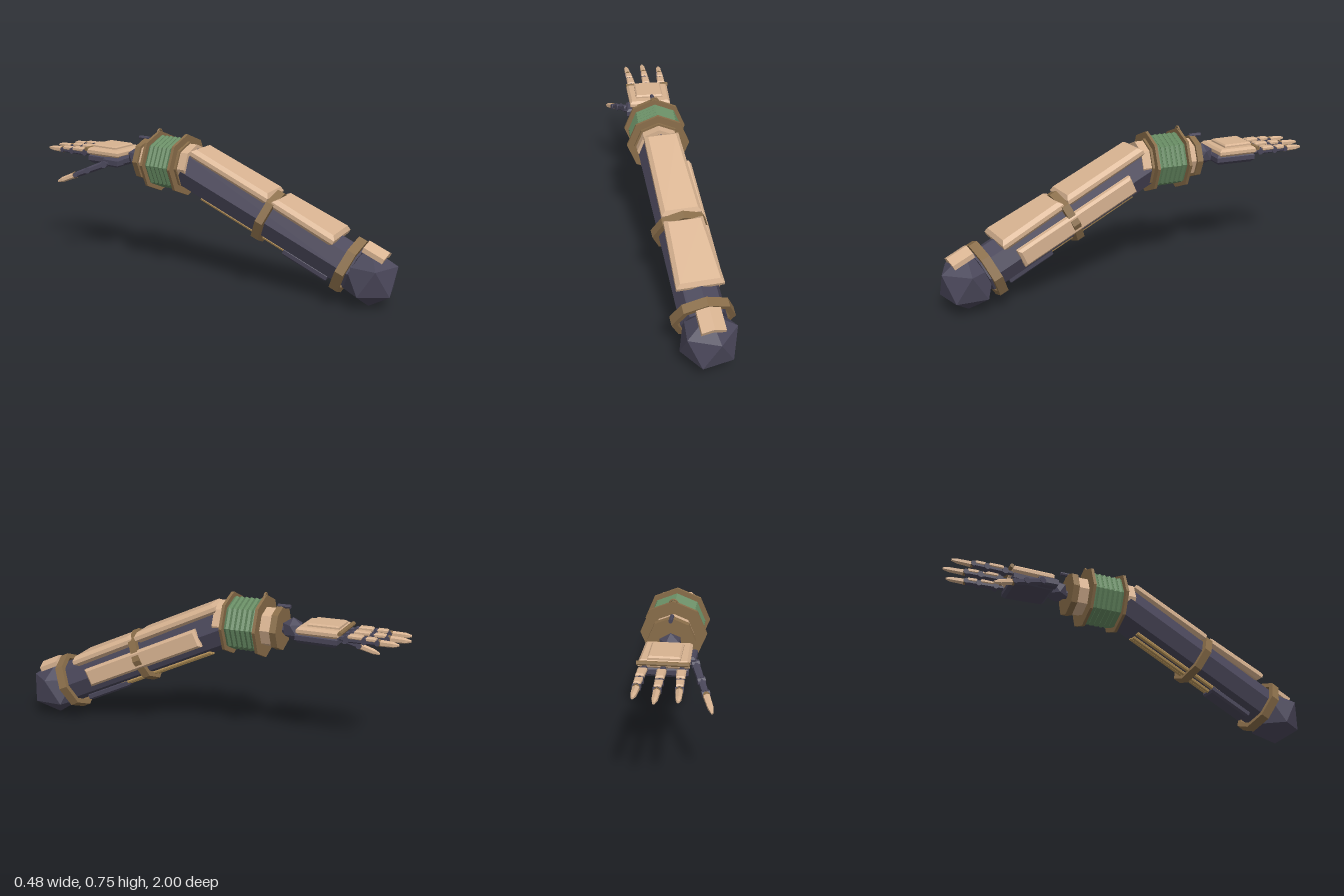
import * as THREE from 'three';

const paint = (name, color) => Object.assign(new THREE.MeshStandardMaterial({ color }), { name });

export function createModel() {
  const dark = paint('dark frame', 0x4a475a);
  const tan = paint('tan armour', 0xd8b391);
  const brown = paint('brown bands', 0x8a6e4a);
  const green = paint('green bellows', 0x668a62);
  const gold = paint('gold rods', 0xb8945a);

  const model = new THREE.Group();
  model.name = 'mechanicalArm';

  // Adds a faceted mesh to a parent
  function add(parent, name, geo, mat, x = 0, y = 0, z = 0) {
    const flat = geo.index ? geo.toNonIndexed() : geo;
    flat.computeVertexNormals();
    const mesh = new THREE.Mesh(flat, mat);
    mesh.name = name;
    mesh.position.set(x, y, z);
    parent.add(mesh);
    return mesh;
  }

  // Prism lying along z, from z0 (radius r0) back to z1 (radius r1)
  function prism(z0, z1, r0, r1 = r0, sides = 8) {
    const g = new THREE.CylinderGeometry(r0, r1, z0 - z1, sides);
    return g.rotateX(Math.PI / 2).translate(0, 0, (z0 + z1) / 2);
  }

  // Octagonal hoop lying along z
  function hoop(inner, outer, width) {
    const h = width / 2;
    const loop = [[outer, -h], [outer, h], [inner, h], [inner, -h], [outer, -h]];
    return new THREE.LatheGeometry(loop.map(p => new THREE.Vector2(...p)), 8).rotateX(Math.PI / 2);
  }

  // Chamfered plate running toward -z, width w0 tapering to w1, rising from y = 0
  function plate(w0, w1, length, height, bevel) {
    const s = new THREE.Shape();
    s.moveTo(-w0 / 2, 0).lineTo(w0 / 2, 0).lineTo(w1 / 2, length).lineTo(-w1 / 2, length).closePath();
    const g = new THREE.ExtrudeGeometry(s, {
      depth: height - 2 * bevel, bevelEnabled: true, bevelSegments: 1,
      bevelSize: bevel, bevelThickness: bevel, bevelOffset: -bevel,
    });
    return g.translate(0, 0, bevel).rotateX(-Math.PI / 2);
  }

  // Twenty-sided ball with a corner pointing up
  function ball(radius, turn) {
    const tilt = Math.atan((1 + Math.sqrt(5)) / 2);
    return new THREE.IcosahedronGeometry(radius, 0).rotateX(-tilt).rotateY(turn);
  }

  // Forearm: pivots at the elbow, local -z runs to the wrist
  const forearm = new THREE.Group();
  forearm.name = 'forearm';
  forearm.position.set(0.105, 0.145, 0.875);
  forearm.rotation.set(0.415, 0.12, 0, 'YXZ');
  model.add(forearm);

  add(model, 'elbowBall', ball(0.145, 0.3), dark, 0.105, 0.145, 0.875);
  add(forearm, 'forearmCore', prism(-0.08, -1.06, 0.11), dark);
  add(forearm, 'elbowBand', hoop(0.122, 0.15, 0.045), brown, 0, 0, -0.11);
  add(forearm, 'middleBand', hoop(0.1, 0.141, 0.04), brown, 0, 0, -0.565);
  add(forearm, 'lowerTopPlate', plate(0.225, 0.19, 0.355, 0.055, 0.018), tan, 0, 0.073, -0.205);
  add(forearm, 'upperTopPlate', plate(0.195, 0.175, 0.465, 0.055, 0.018), tan, 0, 0.075, -0.585);
  add(forearm, 'sidePlate', plate(0.095, 0.095, 0.665, 0.045, 0.012).rotateZ(-Math.PI / 2),
    tan, 0.085, 0, -0.255);
  add(forearm, 'undersideBlock', plate(0.09, 0.09, 0.25, 0.04, 0.01).rotateZ(Math.PI),
    dark, 0, -0.087, -0.17);
  [-0.032, 0, 0.032].forEach(x => {
    add(forearm, 'undersideRod', prism(-0.38, -0.92, 0.012), gold, x, -0.108 + Math.abs(x) * 0.3, 0);
  });

  // Roof-shaped guard over the elbow
  const roof = new THREE.Shape([[-0.056, 0.112], [0, 0.13], [0.056, 0.112], [0.056, 0.136],
    [0, 0.158], [-0.056, 0.136]].map(p => new THREE.Vector2(...p)));
  add(forearm, 'elbowGuard', new THREE.ExtrudeGeometry(roof, { depth: 0.11, bevelEnabled: false }),
    tan, 0, 0, -0.08);

  // Wrist cuff: bellows between two flanges
  const cuff = new THREE.Group();
  cuff.name = 'wristCuff';
  cuff.position.set(-0.012, 0.58, 0);
  model.add(cuff);
  add(cuff, 'frontCollar', prism(-0.04, -0.1, 0.112), tan);
  add(cuff, 'frontCollarRim', prism(-0.085, -0.1, 0.122), brown);
  add(cuff, 'frontFlange', prism(-0.098, -0.113, 0.158), brown);
  add(cuff, 'bellowsCore', prism(-0.11, -0.275, 0.12), green);
  for (let i = 0; i < 6; i++) {
    add(cuff, 'bellowsRing', new THREE.TorusGeometry(0.124, 0.0145, 6, 8), green, 0, 0, -0.127 - i * 0.0265);
  }
  add(cuff, 'backFlange', prism(-0.272, -0.287, 0.158), brown);
  add(cuff, 'cuffLoop', new THREE.TorusGeometry(0.018, 0.005, 6, 12), brown, 0, 0.148, -0.279);
  add(cuff, 'backCollar', prism(-0.285, -0.345, 0.098), tan);
  add(cuff, 'endCap', prism(-0.343, -0.375, 0.112), brown);
  add(cuff, 'capPin', prism(-0.345, -0.41, 0.01), dark, 0, 0.11, 0);

  // Hand
  const hand = new THREE.Group();
  hand.name = 'hand';
  model.add(hand);
  add(hand, 'wristBall', ball(0.057, 0.3), dark, -0.014, 0.583, -0.425);
  add(hand, 'wristLink', prism(-0.36, -0.5, 0.022), dark, -0.014, 0.575, 0);
  add(hand, 'palm', plate(0.19, 0.215, 0.215, 0.055, 0.016), dark, -0.014, 0.538, -0.465);
  add(hand, 'backPlate', plate(0.215, 0.225, 0.21, 0.04, 0.012), tan, -0.014, 0.582, -0.475);
  add(hand, 'raisedPanel', plate(0.145, 0.145, 0.155, 0.025, 0.007), tan, -0.014, 0.612, -0.52);
  add(hand, 'knuckleBar', new THREE.CylinderGeometry(0.011, 0.011, 0.23, 8).rotateZ(Math.PI / 2),
    brown, -0.012, 0.612, -0.692);
  add(hand, 'thumbMount', plate(0.05, 0.045, 0.1, 0.045, 0.01), dark, -0.118, 0.54, -0.46);

  // Jointed finger, 0.3 long, aimed from one point to another
  function finger(name, from, to, armoured) {
    const f = new THREE.Group();
    f.name = name;
    const a = new THREE.Vector3(...from);
    const dir = new THREE.Vector3(...to).sub(a);
    f.position.copy(a);
    f.scale.set(1, 1, dir.length() / 0.3);
    f.quaternion.setFromUnitVectors(new THREE.Vector3(0, 0, -1), dir.normalize());
    hand.add(f);
    add(f, 'fingerRoot', prism(0.03, -0.02, 0.013, 0.013, 6), dark);
    [[-0.022, 0.018], [-0.118, 0.017], [-0.19, 0.014]].forEach(([z, r]) => {
      add(f, 'fingerJoint', new THREE.CylinderGeometry(r, r, 0.036, 8).rotateZ(Math.PI / 2), dark, 0, 0, z);
    });
    add(f, 'lowerSegment', prism(-0.03, -0.11, 0.019, 0.017, 6), dark);
    add(f, 'middleSegment', prism(-0.12, -0.185, 0.017, 0.015, 6), dark);
    if (armoured) {
      add(f, 'lowerPlate', plate(0.042, 0.038, 0.075, 0.022, 0.006), tan, 0, 0.002, -0.033);
      add(f, 'middlePlate', plate(0.036, 0.031, 0.055, 0.02, 0.005), tan, 0, 0.001, -0.127);
    }
    add(f, 'tipBand', prism(-0.192, -0.204, 0.018, 0.018, 6), brown);
    add(f, 'fingertip', prism(-0.2, -0.27, 0.0165, 0.014, 6), tan);
    add(f, 'fingertipEnd', prism(-0.27, -0.3, 0.014, 0.006, 6), tan);
  }
  finger('innerFinger', [-0.094, 0.588, -0.7], [-0.108, 0.585, -0.98], true);
  finger('middleFinger', [-0.012, 0.588, -0.7], [-0.012, 0.585, -1.0], true);
  finger('outerFinger', [0.07, 0.588, -0.7], [0.08, 0.585, -0.965], true);
  finger('thumb', [-0.132, 0.558, -0.53], [-0.235, 0.442, -0.8], false);

  return model;
}
